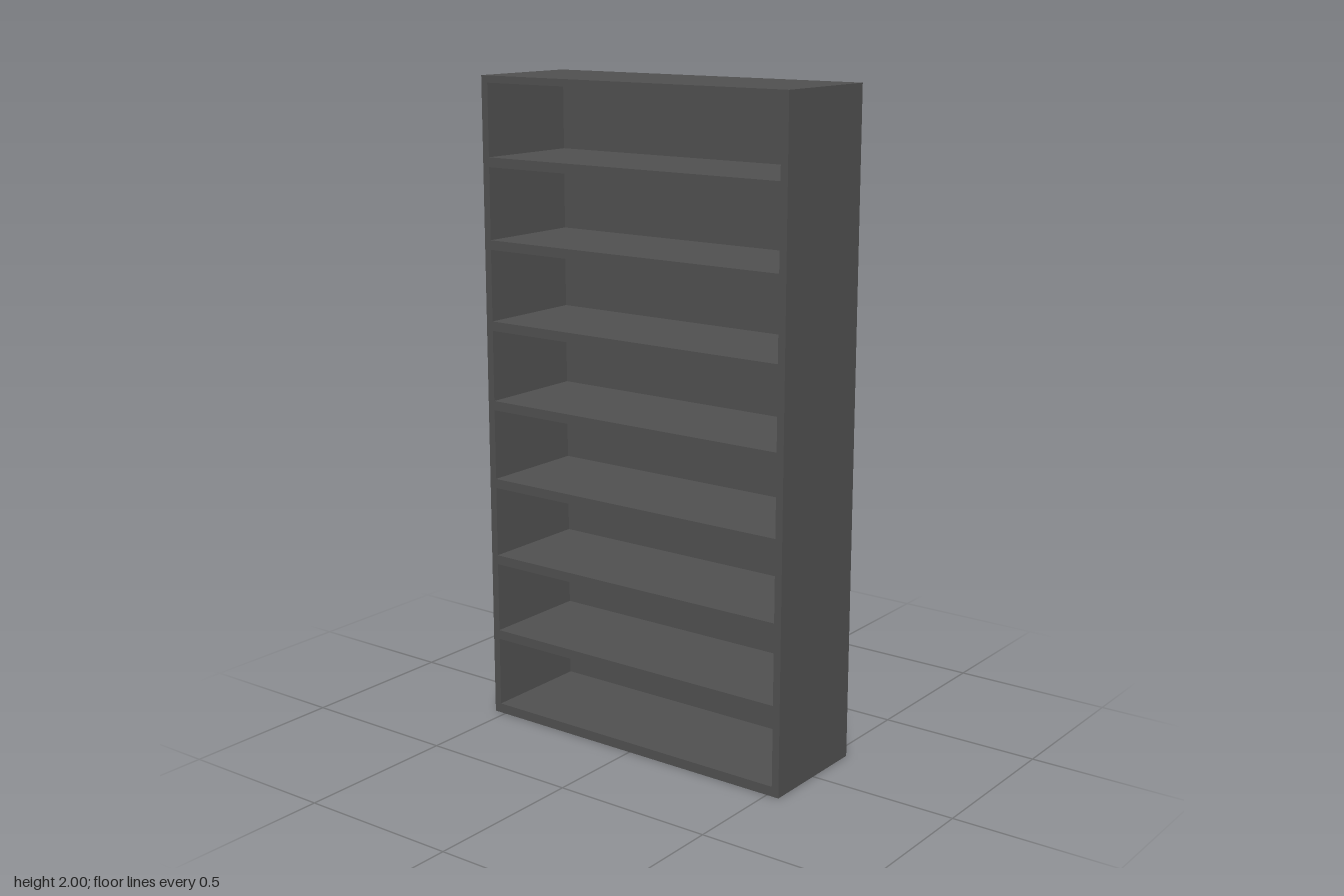
import * as THREE from 'three';

const W = 1.08, H = 2, D = 0.37;      // overall size
const SIDE = 0.023, BACK = 0.023;     // board thicknesses
const BASE = 0.03, TOP = 0.021, SHELF = 0.029;
const BAYS = 8;

export function createModel() {
  const group = new THREE.Group();
  group.name = 'bookcase';
  const material = new THREE.MeshStandardMaterial({ color: 0x505050 });

  const board = (name, w, h, d, x, y, z) => {
    const mesh = new THREE.Mesh(new THREE.BoxGeometry(w, h, d), material);
    mesh.name = name;
    mesh.position.set(x, y, z);
    group.add(mesh);
  };

  // Upright sides, full height and depth
  for (const s of [1, -1]) {
    board(s > 0 ? 'leftSide' : 'rightSide', SIDE, H, D, s * (W - SIDE) / 2, H / 2, 0);
  }

  // Top and base boards between the sides
  const innerW = W - 2 * SIDE;
  board('topBoard', innerW, TOP, D, 0, H - TOP / 2, 0);
  board('baseBoard', innerW, BASE, D, 0, BASE / 2, 0);

  // Back panel, flush with the rear edges
  const innerH = H - BASE - TOP;
  board('backPanel', innerW, innerH, BACK, 0, BASE + innerH / 2, (BACK - D) / 2);

  // Evenly spaced shelves, flush with the front edges
  const bay = (innerH - (BAYS - 1) * SHELF) / BAYS;
  for (let i = 1; i < BAYS; i++) {
    const y = BASE + i * (bay + SHELF) - SHELF / 2;
    board('shelf' + i, innerW, SHELF, D - BACK, 0, y, BACK / 2);
  }

  return group;
}
